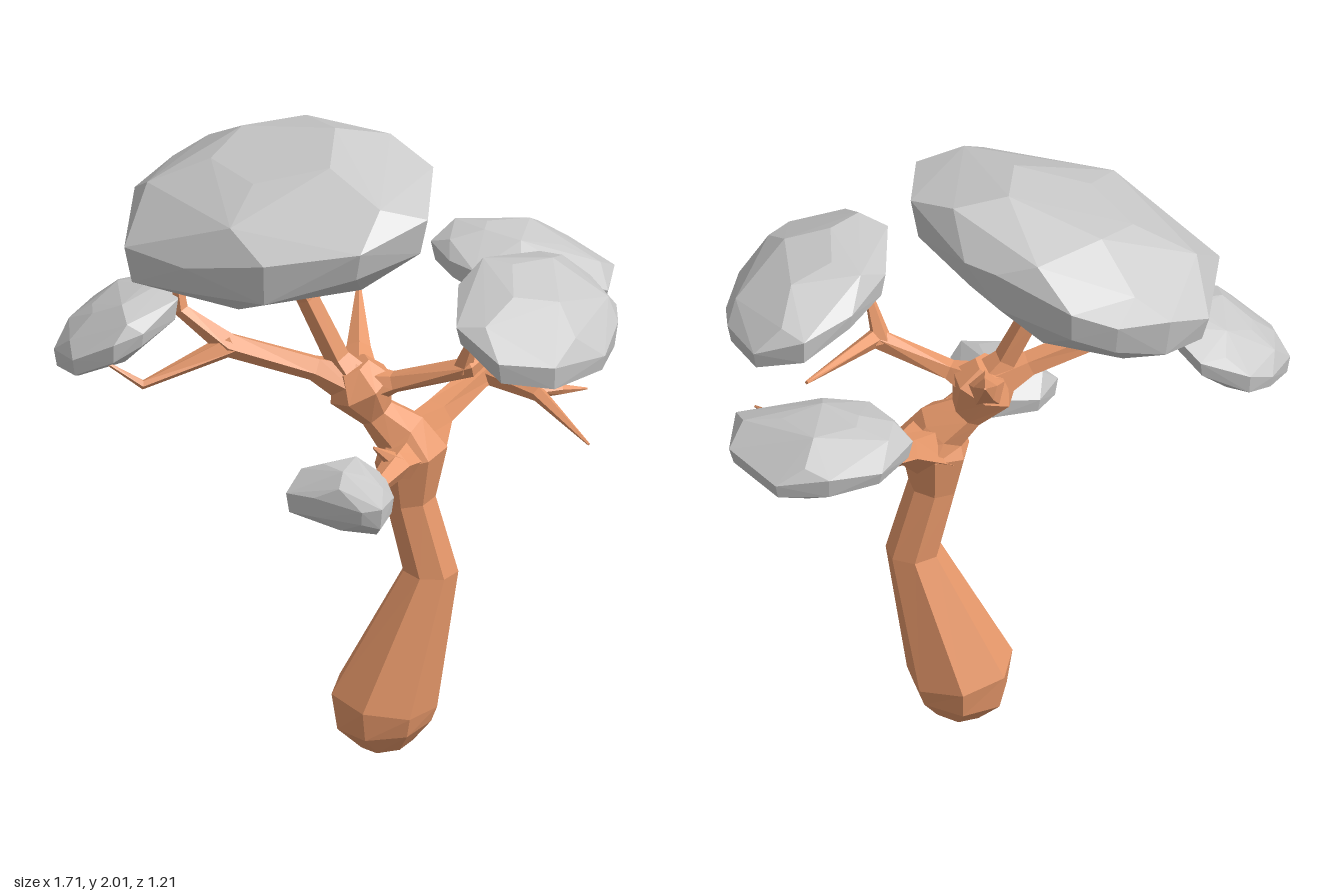
import * as THREE from 'three';
import { ConvexGeometry } from 'three/addons/geometries/ConvexGeometry.js';

const bark = new THREE.MeshStandardMaterial({ color: 0xe8996b, flatShading: true });
const leaf = new THREE.MeshStandardMaterial({ color: 0xcccccc, flatShading: true });

// Faceted limb: rings lofted along a path of [x, y, z, radius], capped at both ends
function limb(name, path, sides = 5) {
  const pts = path.map(([x, y, z]) => new THREE.Vector3(x, y, z));
  const up = new THREE.Vector3(0, 1, 0);
  const last = pts.length - 1;
  const pos = [];
  const idx = [];
  pts.forEach((p, k) => {
    const before = k > 0 ? p.clone().sub(pts[k - 1]).normalize() : new THREE.Vector3();
    const after = k < last ? pts[k + 1].clone().sub(p).normalize() : new THREE.Vector3();
    const turn = new THREE.Quaternion().setFromUnitVectors(up, before.add(after).normalize());
    for (let i = 0; i < sides; i++) {
      const a = ((i + 0.25) / sides) * Math.PI * 2;
      const v = new THREE.Vector3(Math.cos(a), 0, Math.sin(a)).multiplyScalar(path[k][3]);
      pos.push(...v.applyQuaternion(turn).add(p).toArray());
    }
  });
  const bottom = pts.length * sides;
  const top = bottom + 1;
  pos.push(...pts[0].toArray(), ...pts[last].toArray());
  for (let i = 0; i < sides; i++) {
    const j = (i + 1) % sides;
    for (let k = 0; k < last; k++) {
      const a = k * sides;
      const b = a + sides;
      idx.push(a + i, b + i, a + j, b + i, b + j, a + j);
    }
    idx.push(bottom, i, j, top, last * sides + j, last * sides + i);
  }
  let geo = new THREE.BufferGeometry();
  geo.setAttribute('position', new THREE.Float32BufferAttribute(pos, 3));
  geo.setIndex(idx);
  geo = geo.toNonIndexed();
  geo.computeVertexNormals();
  const mesh = new THREE.Mesh(geo, bark);
  mesh.name = name;
  return mesh;
}

// Faceted leaf clump: hull of shrinking copies of a plan outline on a tilted plane
function foliage(name, { outline, y, slopeX = 0, slopeZ = 0, up, down }) {
  const n = outline.length;
  const mids = outline.map(([x, z], i) => {
    const [x2, z2] = outline[(i + 1) % n];
    return [(x + x2) / 2, (z + z2) / 2];
  }).filter((_, i) => i % 2 === 0);
  const cx = outline.reduce((s, p) => s + p[0], 0) / n;
  const cz = outline.reduce((s, p) => s + p[1], 0) / n;
  // [ring, scale, height]
  const rings = [
    [mids, 0.45, 0.95], [mids, 0.88, 0.6], [outline, 1, 0.15],
    [outline, 0.95, -0.42], [mids, 0.72, -0.9],
  ];
  const points = [];
  rings.forEach(([ring, s, h], r) => ring.forEach(([x, z], i) => {
    const dx = (x - cx) * s;
    const dz = (z - cz) * s;
    const bump = 0.09 * Math.sin(i * 2.4 + r * 1.7);
    const lift = (h + bump) * (h > 0 ? up : down);
    points.push(new THREE.Vector3(cx + dx, y + dx * slopeX + dz * slopeZ + lift, cz + dz));
  }));
  const mesh = new THREE.Mesh(new ConvexGeometry(points), leaf);
  mesh.name = name;
  return mesh;
}

export function createModel() {
  const tree = new THREE.Group();
  tree.name = 'tree';

  // Trunk with a swollen foot and two flared forks
  tree.add(limb('trunk', [
    [0.14, 0.005, 0.09, 0.08], [0.13, 0.075, 0.09, 0.145], [0.13, 0.16, 0.09, 0.165],
    [0.27, 0.59, 0.11, 0.085], [0.21, 0.83, 0.11, 0.077], [0.21, 0.985, 0.115, 0.115],
    [0.18, 1.05, 0.11, 0.085], [0.11, 1.11, 0.095, 0.057], [0.06, 1.2, 0.1, 0.105],
    [0.03, 1.27, 0.1, 0.06],
  ], 7));

  const branches = {
    // Lower fork
    frontBranch: [[0.21, 0.98, 0.12, 0.09], [0.16, 1.0, 0.24, 0.045], [0.04, 0.98, 0.46, 0.012]],
    frontTwig: [[0.16, 1.01, 0.24, 0.03], [0.09, 1.08, 0.28, 0.004]],
    backBranch: [[0.22, 0.98, 0.1, 0.1], [0.3, 1.05, -0.01, 0.05], [0.46, 1.12, -0.18, 0.042],
      [0.67, 1.19, -0.32, 0.022], [0.72, 1.24, -0.35, 0.02], [0.74, 1.29, -0.36, 0.015]],
    backSpike: [[0.46, 1.11, -0.18, 0.045], [0.41, 1.32, -0.25, 0.004]],
    sideTwig: [[0.45, 1.11, -0.17, 0.04], [0.6, 1.12, 0.02, 0.024], [0.74, 1.05, 0.23, 0.004]],
    sideTwigOuter: [[0.59, 1.12, 0.0, 0.022], [0.67, 1.12, -0.01, 0.016], [0.75, 1.1, -0.05, 0.003]],
    // Upper fork
    leftBranch: [[0.05, 1.21, 0.1, 0.08], [-0.08, 1.27, 0.11, 0.04], [-0.34, 1.37, 0.14, 0.04],
      [-0.48, 1.47, 0.1, 0.024], [-0.5, 1.62, 0.08, 0.016]],
    leftTwig: [[-0.33, 1.37, 0.14, 0.038], [-0.6, 1.27, 0.2, 0.015], [-0.7, 1.33, 0.18, 0.006]],
    topBranch: [[0.05, 1.21, 0.1, 0.075], [-0.01, 1.3, 0.1, 0.04], [-0.1, 1.5, 0.09, 0.036],
      [-0.15, 1.6, 0.12, 0.025]],
    topTwig: [[-0.1, 1.49, 0.09, 0.033], [0.0, 1.63, 0.04, 0.012]],
    backUpperSpike: [[0.05, 1.2, 0.09, 0.075], [0.06, 1.27, -0.02, 0.038], [0.07, 1.41, -0.2, 0.004]],
    rightBranch: [[0.06, 1.2, 0.1, 0.075], [0.16, 1.23, 0.14, 0.034], [0.38, 1.31, 0.21, 0.034],
      [0.6, 1.35, -0.06, 0.006]],
    rightTwig: [[0.36, 1.3, 0.2, 0.032], [0.4, 1.45, 0.25, 0.012]],
  };
  for (const [name, path] of Object.entries(branches)) tree.add(limb(name, path));

  // Leaf clumps
  tree.add(foliage('crownFoliage', {
    outline: [[-0.65, 0.08], [-0.6, -0.27], [-0.48, -0.36], [-0.32, -0.4], [-0.18, -0.4], [0.04, -0.24],
      [0.13, -0.17], [0.28, 0.08], [0.25, 0.34], [0.04, 0.47], [-0.25, 0.43], [-0.48, 0.27]],
    y: 1.765, slopeX: 0.24, slopeZ: -0.06, up: 0.19, down: 0.2,
  }));
  tree.add(foliage('rightFoliage', {
    outline: [[0.35, 0.18], [0.46, 0], [0.61, -0.11], [0.76, -0.07], [0.83, 0.1], [0.83, 0.2],
      [0.78, 0.4], [0.62, 0.58], [0.45, 0.6], [0.33, 0.44]],
    y: 1.48, slopeX: -0.27, slopeZ: -0.08, up: 0.125, down: 0.12,
  }));
  tree.add(foliage('backFoliage', {
    outline: [[0.3, -0.45], [0.4, -0.59], [0.56, -0.61], [0.72, -0.58], [0.85, -0.38], [0.82, -0.2],
      [0.7, -0.21], [0.42, -0.24], [0.35, -0.33]],
    y: 1.365, slopeX: -0.12, up: 0.1, down: 0.095,
  }));
  tree.add(foliage('leftFoliage', {
    outline: [[-0.86, 0.04], [-0.8, -0.1], [-0.73, -0.16], [-0.58, -0.17], [-0.48, -0.06],
      [-0.49, 0.12], [-0.6, 0.22], [-0.69, 0.23], [-0.81, 0.17]],
    y: 1.405, slopeX: 0.52, up: 0.085, down: 0.1,
  }));
  tree.add(foliage('frontFoliage', {
    outline: [[-0.18, 0.4], [-0.12, 0.29], [0.02, 0.27], [0.12, 0.31], [0.14, 0.49], [0.1, 0.57],
      [0.04, 0.56], [-0.1, 0.47]],
    y: 0.99, slopeX: 0.05, up: 0.1, down: 0.1,
  }));
  return tree;
}
